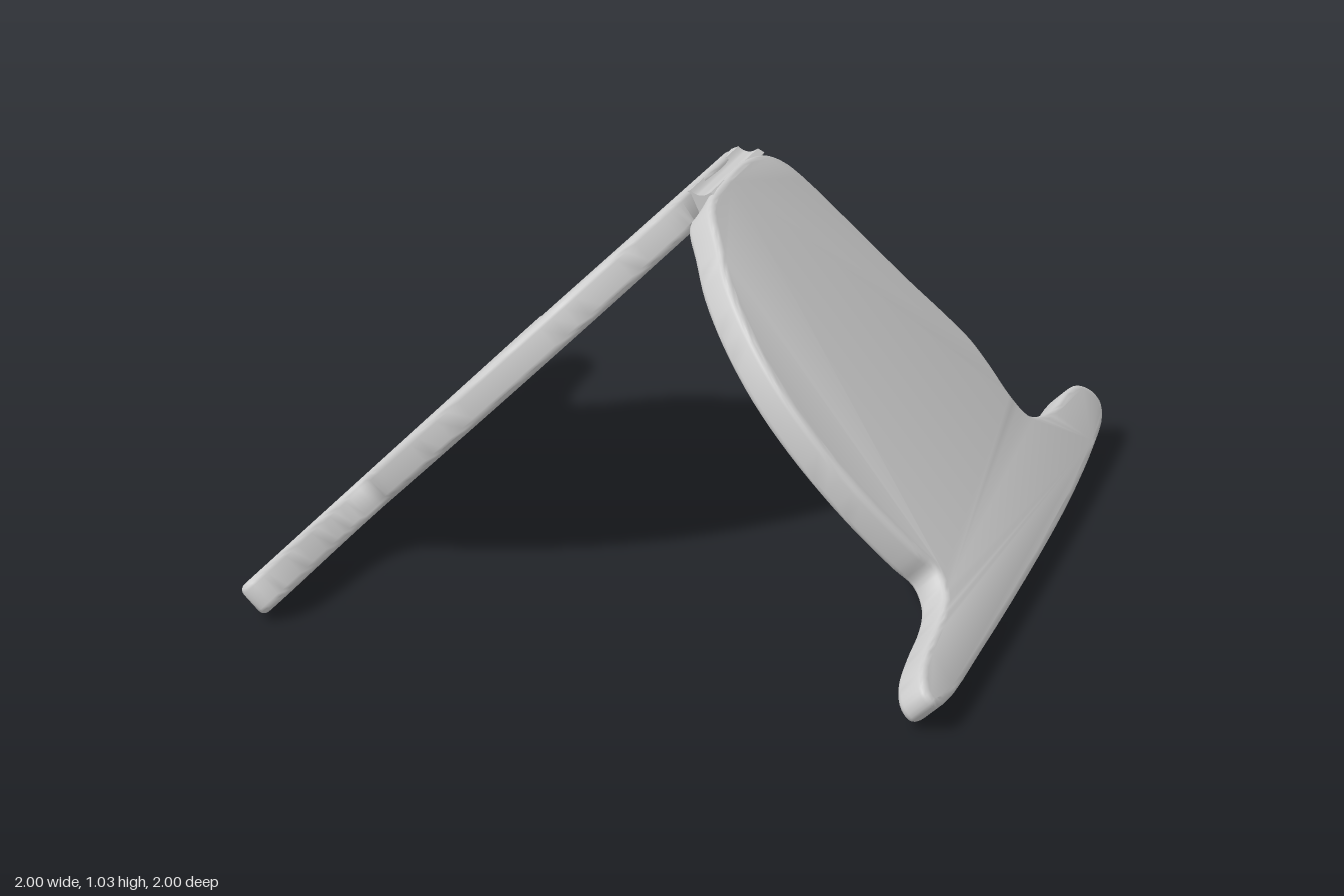
import * as THREE from 'three';
import { toCreasedNormals } from 'three/addons/utils/BufferGeometryUtils.js';

const THICK = 0.1;    // panel thickness
const BEVEL = 0.02;   // rounded edge
const APEX = 1.07;    // height where the outer faces would meet
const R2 = Math.SQRT2;

// Panel outline: z, and height on the outer face
const OUTLINE = [
  [0.93, 0.068], [0.6, 0.061], [0, 0.061], [-0.4, 0.068], [-0.75, 0.085], [-0.93, 0.103],
  [-0.99, 0.127], [-0.995, 0.16], [-0.95, 0.192], [-0.85, 0.205], [-0.72, 0.208], [-0.6, 0.225],
  [-0.543, 0.25], [-0.543, 0.3], [-0.575, 0.37], [-0.595, 0.44], [-0.58, 0.52], [-0.55, 0.62],
  [-0.52, 0.76], [-0.48, 0.93], [-0.45, 0.98], [-0.39, 1.015], [-0.28, 1.034], [-0.1, 1.034],
  [0.05, 1.025], [0.12, 1.003], [0.2, 0.955], [0.31, 0.89], [0.41, 0.8], [0.49, 0.69],
  [0.535, 0.57], [0.55, 0.44], [0.542, 0.34], [0.527, 0.27], [0.512, 0.225], [0.56, 0.188],
  [0.66, 0.168], [0.8, 0.158], [0.93, 0.142], [0.99, 0.115], [0.995, 0.085],
];

// One sloping panel; side is +1 for the model's left, -1 for its right
function makePanel(side) {
  const curve = new THREE.CatmullRomCurve3(
    OUTLINE.map(([z, y]) => new THREE.Vector3(z, y * R2, 0)), true, 'centripetal');
  const pts = curve.getPoints(164).slice(0, -1).map(p => new THREE.Vector2(p.x, p.y));
  const geo = new THREE.ExtrudeGeometry(new THREE.Shape(pts), {
    depth: THICK - 2 * BEVEL, bevelEnabled: true, bevelThickness: BEVEL,
    bevelSize: BEVEL, bevelOffset: -BEVEL, bevelSegments: 4, steps: 1,
  });
  geo.translate(0, 0, BEVEL);
  // Lean the flat panel over at 45 degrees and stop it at the centre plane
  const pos = geo.attributes.position;
  for (let i = 0; i < pos.count; i++) {
    const z = pos.getX(i), s = pos.getY(i);
    const w = side > 0 ? pos.getZ(i) : THICK - pos.getZ(i);
    let x = APEX - (s + w) / R2, y = (s - w) / R2;
    if (x < 0) { y += x; x = 0; }
    pos.setXYZ(i, side * x, y, z);
  }
  geo.deleteAttribute('uv');
  return toCreasedNormals(geo, 0.7);
}

// Ridge strip filling the joint between the panels, with a shallow groove on top
function makeRidge() {
  const s = new THREE.Shape();
  s.moveTo(-0.05, 1.015);
  s.lineTo(0, 0.925);
  s.lineTo(0.05, 1.015);
  s.lineTo(0.03, 1.025);
  s.quadraticCurveTo(0, 1.0, -0.03, 1.025);
  const geo = new THREE.ExtrudeGeometry(s, { depth: 0.41, bevelEnabled: false, curveSegments: 8 });
  geo.translate(0, 0, -0.39);
  return toCreasedNormals(geo, 0.7);
}

export function createModel() {
  const group = new THREE.Group();
  group.name = 'tentCard';
  const mat = new THREE.MeshStandardMaterial({ color: 0xcccccc });
  const add = (name, geo) => {
    const mesh = new THREE.Mesh(geo, mat);
    mesh.name = name;
    group.add(mesh);
  };
  add('leftHatPanel', makePanel(1));
  add('rightHatPanel', makePanel(-1));
  add('ridge', makeRidge());
  return group;
}
